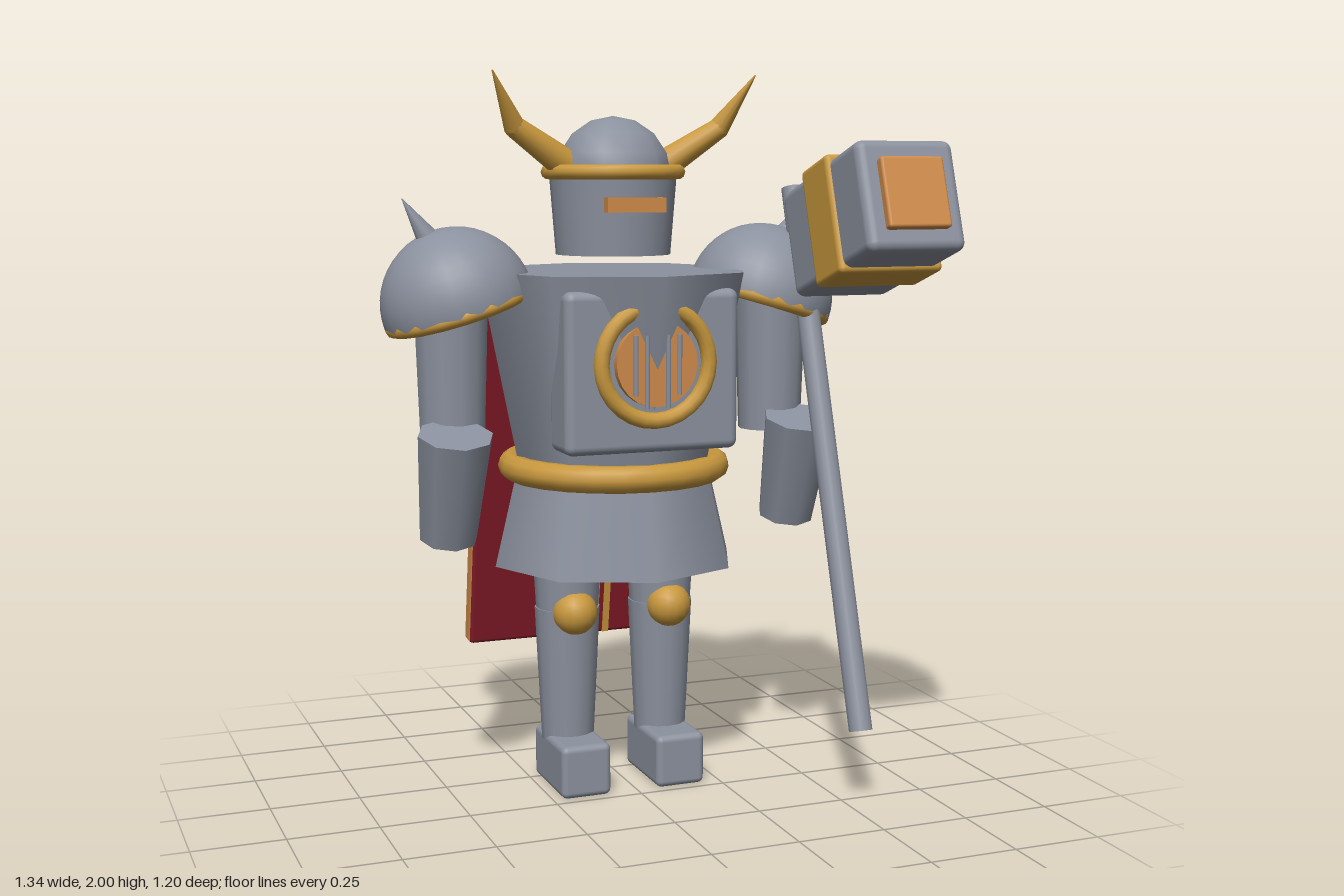
import * as THREE from 'three';
import { RoundedBoxGeometry } from 'three/addons/geometries/RoundedBoxGeometry.js';

const mat = (name, color, side = THREE.FrontSide) => {
  const m = new THREE.MeshStandardMaterial({ color, side });
  m.name = name;
  return m;
};

export function createModel() {
  const steel = mat('steel', 0x8b919e, THREE.DoubleSide);
  const gold = mat('gold', 0xc8983e);
  const copper = mat('copper', 0xcf8b4a);
  const red = mat('red cloth', 0x821a27);

  const model = new THREE.Group();
  model.name = 'hornedKnight';
  const body = new THREE.Group();
  body.name = 'body';
  body.position.set(-0.0125, 0, -0.19);
  model.add(body);

  const add = (parent, name, geo, material, x = 0, y = 0, z = 0) => {
    const m = new THREE.Mesh(geo, material);
    m.name = name;
    m.position.set(x, y, z);
    parent.add(m);
    return m;
  };
  // Upright tapered cylinder between two heights
  const column = (parent, name, material, x, z, y0, y1, r0, r1, sides) =>
    add(parent, name, new THREE.CylinderGeometry(r1, r0, y1 - y0, sides), material, x, (y0 + y1) / 2, z);
  // Tapered rod between two points
  const rod = (parent, name, material, a, b, ra, rb, sides = 12) => {
    const p = new THREE.Vector3(...a), q = new THREE.Vector3(...b);
    const d = q.clone().sub(p);
    const m = add(parent, name, new THREE.CylinderGeometry(rb, ra, d.length(), sides), material);
    m.position.copy(p).add(q).multiplyScalar(0.5);
    m.quaternion.setFromUnitVectors(new THREE.Vector3(0, 1, 0), d.normalize());
    return m;
  };
  const flatRing = (parent, name, R, r, y, seg = 20) => {
    const m = add(parent, name, new THREE.TorusGeometry(R, r, 10, seg), gold, 0, y, 0);
    m.rotation.x = Math.PI / 2;
    return m;
  };

  // Torso, skirt and belt
  column(body, 'torso', steel, 0, 0, 0.87, 1.465, 0.27, 0.39, 8);
  column(body, 'skirt', steel, 0, 0, 0.643, 0.92, 0.352, 0.285, 8);
  flatRing(body, 'belt', 0.29, 0.038, 0.917, 24);

  // Breastplate with round emblem; the torso ridge cuts through its top
  add(body, 'breastplate', new RoundedBoxGeometry(0.495, 0.435, 0.145, 3, 0.025), steel, 0, 1.208, 0.245);
  add(body, 'emblemRing', new THREE.TorusGeometry(0.153, 0.022, 10, 28), gold, 0, 1.232, 0.327);
  const disc = add(body, 'emblemDisc', new THREE.CylinderGeometry(0.115, 0.115, 0.04, 24), copper, 0, 1.232, 0.32);
  disc.rotation.x = Math.PI / 2;
  [-0.062, -0.03, 0.03, 0.062].forEach((x) => {
    const low = Math.abs(x) > 0.05 ? 1.15 : 1.115;
    column(body, 'emblemBar', steel, x, 0.343, low, 1.31, 0.007, 0.007, 8);
  });

  // Helmet
  column(body, 'helmet', steel, 0, 0, 1.508, 1.735, 0.16, 0.178, 20);
  add(body, 'helmetDome', new THREE.SphereGeometry(0.163, 12, 8), steel, 0, 1.725, 0);
  flatRing(body, 'helmetBand', 0.18, 0.021, 1.735, 16);
  add(body, 'visorSlit', new THREE.BoxGeometry(0.168, 0.04, 0.03), copper, 0, 1.647, 0.175);

  for (const s of [-1, 1]) {
    // Horn: thick root, bend, pointed tip
    const bend = [s * 0.298, 1.855, 0.045];
    rod(body, 'hornRoot', gold, [s * 0.145, 1.755, 0.02], bend, 0.043, 0.03);
    add(body, 'hornBend', new THREE.SphereGeometry(0.03, 12, 8), gold, ...bend);
    rod(body, 'hornTip', gold, bend, [s * 0.379, 2, 0.115], 0.03, 0.002);

    // Tilted shoulder dome with rim and spike
    const shoulder = new THREE.Group();
    shoulder.name = 'shoulder';
    shoulder.position.set(s * 0.45, 1.38, 0);
    shoulder.rotation.z = -s * 0.3;
    body.add(shoulder);
    add(shoulder, 'shoulderDome',
      new THREE.SphereGeometry(0.21, 24, 12, 0, Math.PI * 2, 0, Math.PI * 0.52), steel);
    flatRing(shoulder, 'shoulderRim', 0.192, 0.02, -0.012, 18);
    rod(body, 'shoulderSpike', steel, [s * 0.525, 1.55, 0], [s * 0.6, 1.665, 0], 0.034, 0.001);

    // Arm
    column(body, 'upperArm', steel, s * 0.475, 0.02, 1.0, 1.42, 0.09, 0.104, 12);
    rod(body, 'forearm', steel, [s * 0.505, 0.75, 0.073], [s * 0.505, 1.045, 0.16], 0.08, 0.103, 8);

    // Leg
    column(body, 'thigh', steel, s * 0.1415, 0, 0.5, 0.85, 0.088, 0.108, 14);
    column(body, 'shin', steel, s * 0.1415, 0, 0.1, 0.515, 0.073, 0.093, 14);
    add(body, 'kneeCap', new THREE.SphereGeometry(0.064, 16, 12), gold, s * 0.1415, 0.51, 0.067);
    add(body, 'boot', new RoundedBoxGeometry(0.145, 0.15, 0.26, 3, 0.018), steel, s * 0.1415, 0.075, 0.04);
  }

  // Cape: leaning slab with centre stripe, piping and edge trim
  const cape = new THREE.Group();
  cape.name = 'cape';
  cape.position.set(0, 0.88, -0.2925);
  cape.rotation.x = 0.159;
  body.add(cape);
  const L = 1.104;
  add(cape, 'capeCloth', new RoundedBoxGeometry(0.66, L, 0.05, 2, 0.012), red);
  add(cape, 'capeStripe', new THREE.BoxGeometry(0.15, L - 0.006, 0.056), copper);
  for (const s of [-1, 1]) {
    add(cape, 'capePiping', new THREE.BoxGeometry(0.02, L - 0.006, 0.056), gold, s * 0.1, 0, 0);
    add(cape, 'capeEdge', new THREE.BoxGeometry(0.006, L - 0.02, 0.036), copper, s * 0.33, 0, 0);
  }

  // War hammer
  const hammer = new THREE.Group();
  hammer.name = 'hammer';
  model.add(hammer);
  rod(hammer, 'hammerShaft', steel, [0.518, 0.22, 0.325], [0.518, 1.69, -0.145], 0.033, 0.033, 14);
  const head = new THREE.Group();
  head.name = 'hammerHead';
  head.position.set(0.518, 1.608, 0.333);
  head.rotation.x = -0.325;
  hammer.add(head);
  add(head, 'hammerBlock', new RoundedBoxGeometry(0.278, 0.293, 0.457, 3, 0.025), steel);
  add(head, 'hammerBand', new RoundedBoxGeometry(0.3, 0.318, 0.155, 3, 0.015), gold);
  add(head, 'hammerFace', new RoundedBoxGeometry(0.178, 0.186, 0.06, 2, 0.008), copper, 0, 0, 0.222);

  return model;
}
